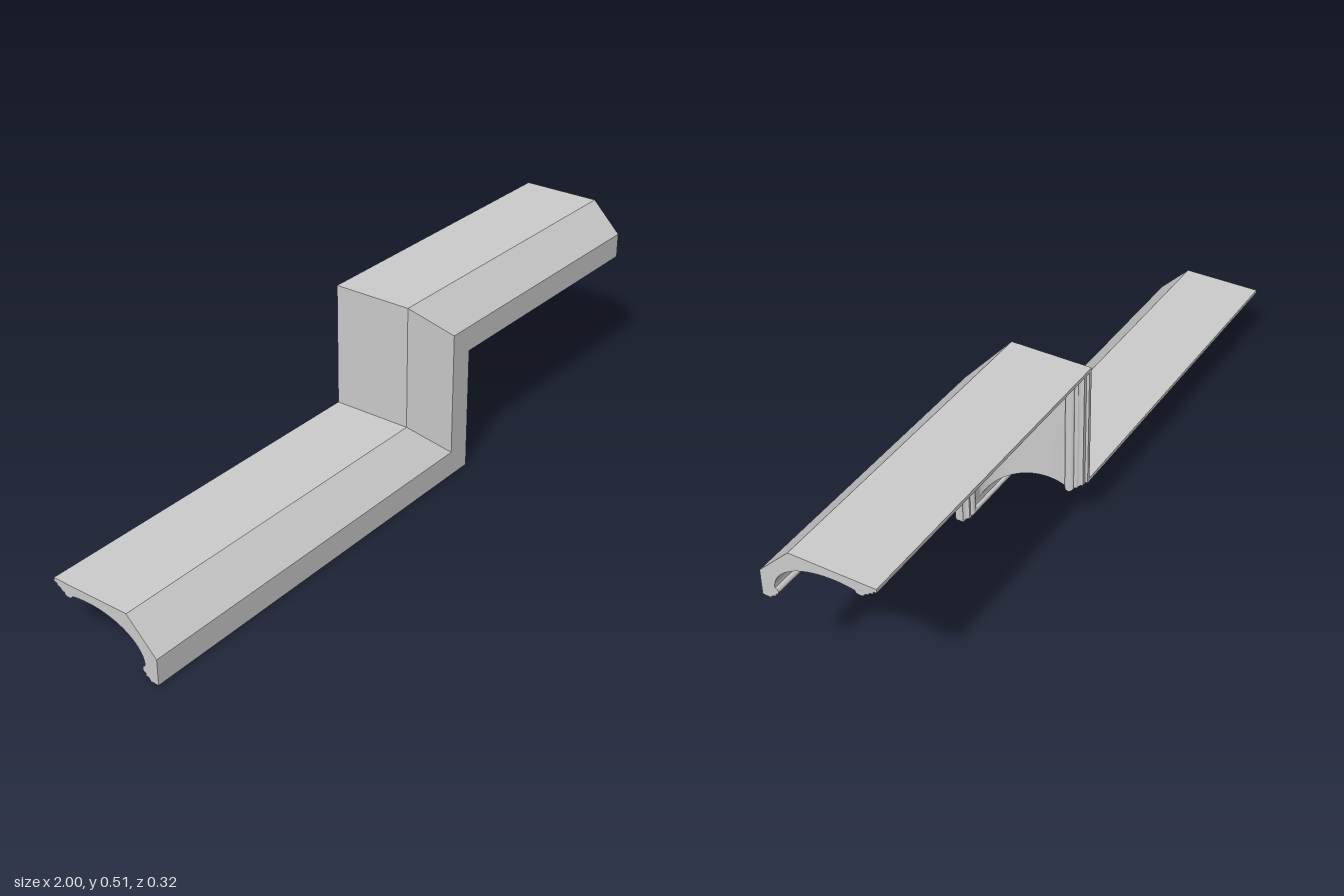
import * as THREE from 'three';
import { toCreasedNormals } from 'three/addons/utils/BufferGeometryUtils.js';

const TOP_LOW = 0.16, TOP_HIGH = 0.513, RISER_X = 0.06;

// Moulding cross-section: x holds z, y holds the depth below the outer face
function mouldingProfile() {
  const p = [];
  const add = (z, d) => p.push(new THREE.Vector2(z, d));
  const arc = (cz, cd, rz, rd, a0, a1, n) => {
    for (let i = 0; i <= n; i++) {
      const a = THREE.MathUtils.degToRad(a0 + (a1 - a0) * i / n);
      add(cz + rz * Math.cos(a), cd + rd * Math.sin(a));
    }
  };
  // outer faces with the front chamfer
  add(-0.16, 0); add(0.073, 0); add(0.16, 0.088); add(0.16, 0.16); add(0.138, 0.16);
  // front cove and bead
  arc(0.122, 0.161, 0.014, 0.011, 0, -90, 6);
  add(0.122, 0.144);
  arc(0.122, 0.1335, 0.009, 0.0095, 100, 265, 10);
  // wide hollow
  arc(-0.05, 0.124, 0.172, 0.1, -2, -107, 32);
  // back bead, fillet and cove
  arc(-0.115, 0.028, 0.013, 0.009, 0, 180, 10);
  add(-0.136, 0.026);
  arc(-0.15, 0.027, 0.013, 0.009, -10, -90, 6);
  add(-0.151, 0.013); add(-0.152, 0.0105); add(-0.16, 0.0105);
  return p;
}

// Sweeps the cross-section along the stepped path with mitred corners
function sweptMoulding(profile) {
  const stations = [
    (p) => [-1, TOP_LOW - p.y, p.x],
    (p) => [RISER_X + p.y, TOP_LOW - p.y, p.x],
    (p) => [RISER_X + p.y, TOP_HIGH - p.y, p.x],
    (p) => [1, TOP_HIGH - p.y, p.x],
  ];
  const pos = [];
  const tri = (...pts) => pts.forEach((q) => pos.push(...q));

  for (let s = 0; s < stations.length - 1; s++) {
    profile.forEach((p, i) => {
      const q = profile[(i + 1) % profile.length];
      const a = stations[s](p), b = stations[s](q);
      const c = stations[s + 1](q), d = stations[s + 1](p);
      tri(a, b, c);
      tri(a, c, d);
    });
  }

  // end caps
  for (const [i, j, k] of THREE.ShapeUtils.triangulateShape(profile, [])) {
    const end = stations[3], start = stations[0];
    tri(end(profile[i]), end(profile[j]), end(profile[k]));
    tri(start(profile[k]), start(profile[j]), start(profile[i]));
  }

  const geo = new THREE.BufferGeometry();
  geo.setAttribute('position', new THREE.Float32BufferAttribute(pos, 3));
  return toCreasedNormals(geo, 0.5);
}

export function createModel() {
  const group = new THREE.Group();
  group.name = 'steppedMoulding';
  const mesh = new THREE.Mesh(
    sweptMoulding(mouldingProfile()),
    new THREE.MeshStandardMaterial({ color: 0xcccccc })
  );
  mesh.name = 'moulding';
  group.add(mesh);
  return group;
}
